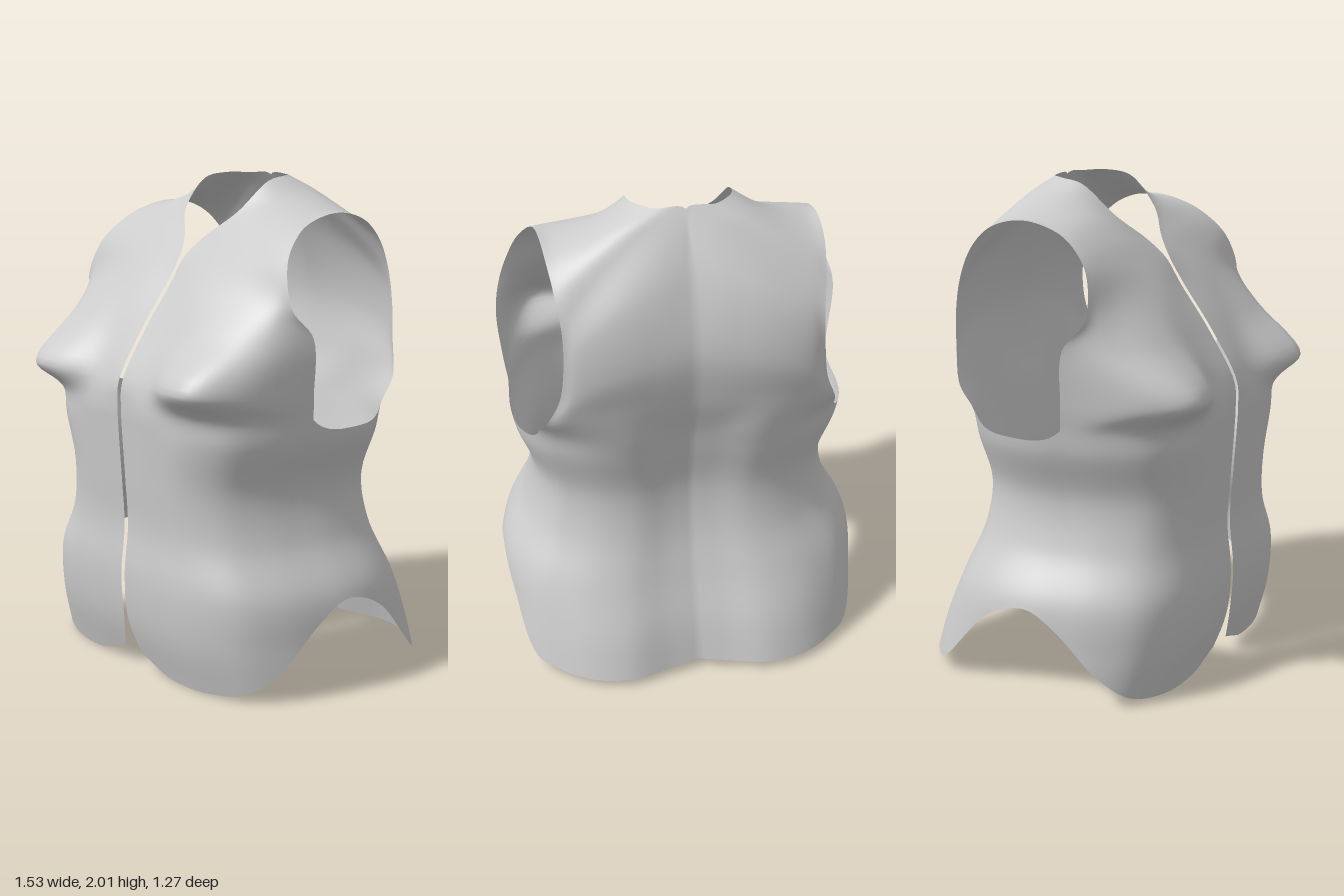
import * as THREE from 'three';
import { mergeVertices } from 'three/addons/utils/BufferGeometryUtils.js';

const SUB = 6;        // columns between neighbouring section points
const BODY_ROWS = 32; // rows from hem to underarm
const STRAP_SUB = 7;  // rows between neighbouring strap sections
const STEP = 0.2;     // height between the lower body sections
const DIP = 0.55;     // how far the underarm curve sinks below the top body section

// Half plan of the body from centre front to centre back, in units of half width and depth.
// Points 0-5 are the front panel, 5-8 the side panel, 8-13 the back panel.
const planX = [0, .3, .58, .8, .92, .98, 1, .97, .87, .74, .57, .37, .15, 0];
const planZ = [.985, 1, .96, .8, .54, .245, 0, -.36, -.67, -.83, -.955, -1, -.935, -.9];

// Body sections: height, half gap at the front opening, half width, front depth, back depth
const body = [
  [0, .085, .8, .5, .635],
  [.2, .016, .78, .555, .57],
  [.4, .012, .758, .57, .48],
  [.6, .012, .655, .55, .405],
  [.8, .012, .62, .56, .38],
  [1, .012, .685, .573, .415],
  [1.1, .012, .7, .577, .435],
];

// Hem height at each plan point (arched over the hips)
const hem = [.06, .005, .005, .04, .15, .315, .38, .3, .075, .04, .03, .03, .03, .04];

// Strap sections running up the chest, over the shoulder and down the back:
// inner edge x y z, armhole edge x y z, bulge in y and z, skew of the bulge to the armhole
const strap = [
  [.012, 1.2, .56, .7, 1.2, .152, .02, .375, 2.4],
  [.012, 1.4, .445, .715, 1.42, .17, 0, .19, 2],
  [.012, 1.58, .315, .685, 1.53, .25, .015, .05, 1.2],
  [.015, 1.68, .25, .625, 1.69, .225, .01, .005, 1],
  [.06, 1.755, .19, .585, 1.78, .15, .018, -.005, 1],
  [.17, 1.86, .1, .56, 1.835, .06, .008, -.008, 1],
  [.205, 1.98, -.03, .55, 1.87, -.1, -.025, -.01, 1],
  [.195, 2, -.13, .54, 1.835, -.25, -.01, 0, 1],
  [.12, 2, -.205, .525, 1.75, -.35, .02, 0, 1],
  [0, 1.995, -.22, .51, 1.63, -.415, .045, 0, 1.2],
  [0, 1.78, -.355, .51, 1.5, -.44, .055, -.032, 1.4],
  [0, 1.5, -.45, .53, 1.33, -.43, .04, -.047, 1.6],
  [0, 1.27, -.435, .58, 1.2, -.385, .03, -.055, 1.6],
];
const strapSpacing = [0, .26, .52, .75, .9, 1];

const spline = (points) => new THREE.CatmullRomCurve3(points);
const dense = (points) => spline(points).getPoints((points.length - 1) * SUB);

function bodySection([y, gap, width, front, back]) {
  return dense(planX.map((x, i) => new THREE.Vector3(
    i === 0 ? gap : x * width,
    y,
    planZ[i] * (planZ[i] > 0 ? front : back))));
}

function strapSection([ix, iy, iz, ex, ey, ez, dy, dz, skew]) {
  const inner = new THREE.Vector3(ix, iy, iz), edge = new THREE.Vector3(ex, ey, ez);
  return dense(strapSpacing.map((s) => {
    const amount = Math.max(0, Math.sin(Math.PI * s ** skew)) ** 0.6;
    return inner.clone().lerp(edge, s).add(new THREE.Vector3(0, dy, dz).multiplyScalar(amount));
  }));
}

// Adds a grid of columns to a triangle list, on both sides of the body
function addPanel(out, columns) {
  const tri = (a, b, c) => {
    for (const p of [a, b, c]) out.push(p.x, p.y, p.z);
    for (const p of [a, c, b]) out.push(-p.x, p.y, p.z);
  };
  for (let j = 0; j < columns.length - 1; j++) {
    for (let i = 0; i < columns[j].length - 1; i++) {
      const a = columns[j][i], b = columns[j + 1][i];
      const c = columns[j][i + 1], d = columns[j + 1][i + 1];
      tri(a, b, c);
      tri(b, d, c);
    }
  }
}

function bodiceGeometry() {
  const rings = body.map(bodySection);
  const straps = strap.map(strapSection);
  const hemLine = dense(hem.map((y, i) => new THREE.Vector3(i, y, 0)));
  const top = rings.length - 1;
  const last = rings[0].length - 1;
  const start = (u) => Math.max(0, hemLine[u].y) / STEP;
  const seamFront = 5 * SUB, seamBack = 8 * SUB;
  const span = (from, to) => Array.from({ length: BODY_ROWS + 1 },
    (_, i) => THREE.MathUtils.lerp(from, to, i / BODY_ROWS));

  // Front and back panels: each column runs hem - chest - shoulder - back - hem
  const long = [];
  for (let u = 0; u <= seamFront; u++) {
    const back = last - u;
    const path = [
      ...rings.map((r) => r[u]),
      ...straps.map((s) => s[u]),
      ...rings.map((r) => r[back]).reverse(),
    ];
    const curve = spline(path), n = path.length - 1;
    const params = span(start(u), top);
    for (let i = 1; i < (straps.length + 1) * STRAP_SUB; i++) params.push(top + i / STRAP_SUB);
    params.push(...span(n - top, n - start(back)));
    long.push(params.map((t) => {
      const p = curve.getPoint(t / n);
      p.x = Math.max(0, p.x); // keeps the centre back from crossing over
      return p;
    }));
  }

  // Side panel: from arched hem to the rounded underarm, sharing both seams
  const seam = long[seamFront];
  const side = [seam.slice(0, BODY_ROWS + 1)];
  for (let u = seamFront + 1; u < seamBack; u++) {
    const path = rings.map((r) => r[u]);
    const curve = spline(path);
    const across = 2 * (u - seamFront) / (seamBack - seamFront) - 1;
    const end = top - DIP * (1 - across ** 4);
    side.push(span(start(u), end).map((t) => curve.getPoint(t / top)));
  }
  side.push(seam.slice(-(BODY_ROWS + 1)).reverse());

  const out = [];
  addPanel(out, long);
  addPanel(out, side);
  const geometry = new THREE.BufferGeometry();
  geometry.setAttribute('position', new THREE.Float32BufferAttribute(out, 3));
  const welded = mergeVertices(geometry, 1e-5);
  welded.computeVertexNormals();
  return welded;
}

export function createModel() {
  const group = new THREE.Group();
  group.name = 'sleevelessVest';
  const material = new THREE.MeshStandardMaterial({ color: 0xcccccc, side: THREE.DoubleSide });
  const bodice = new THREE.Mesh(bodiceGeometry(), material);
  bodice.name = 'bodice';
  group.add(bodice);
  return group;
}
